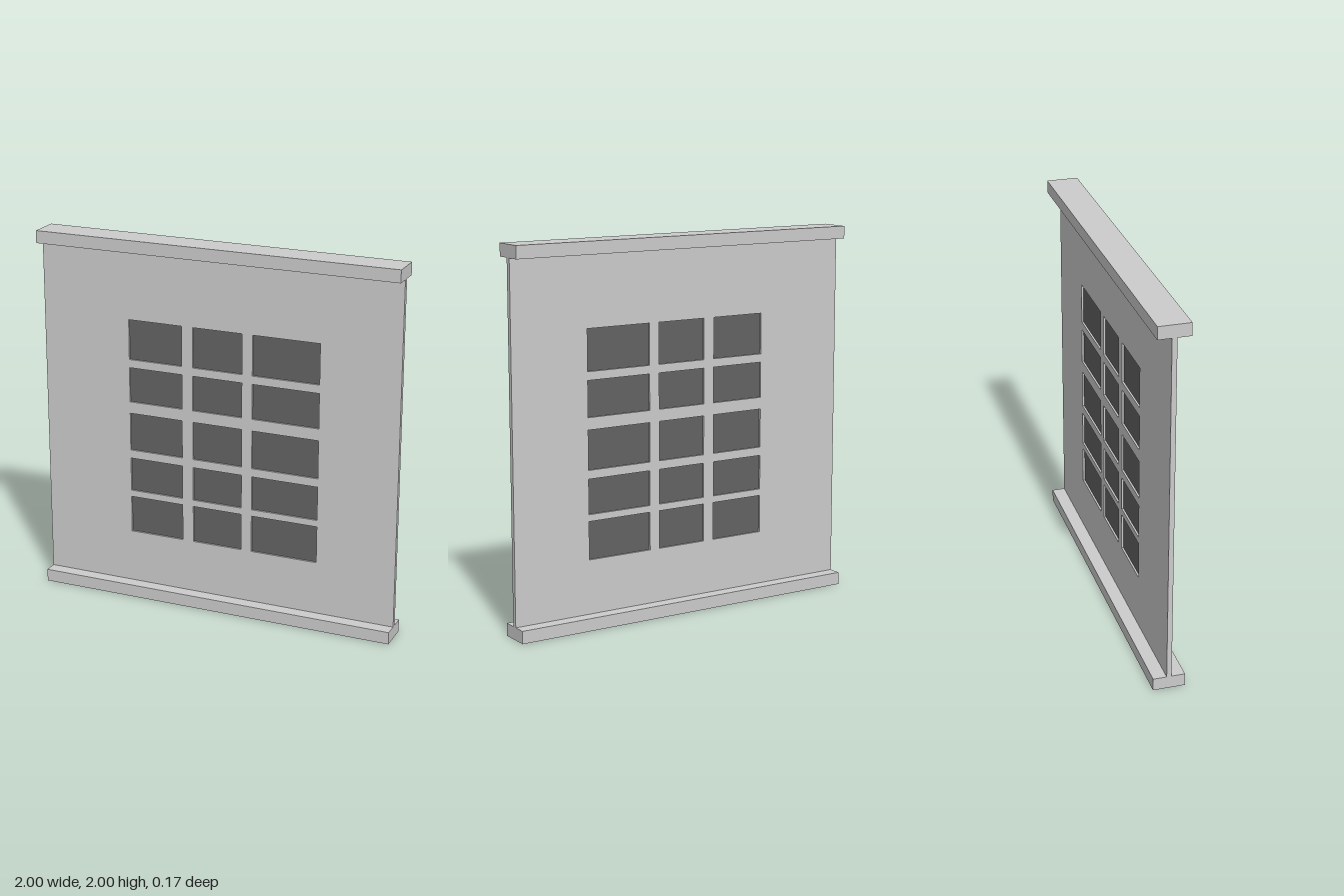
import * as THREE from 'three';

export function createModel() {
  const model = new THREE.Group();
  const frameMat = new THREE.MeshStandardMaterial({ color: 0xcccccc });
  const glassMat = new THREE.MeshStandardMaterial({ color: 0x636363 });

  const railHeight = 0.067, railDepth = 0.168;
  const wallDepth = 0.026, paneDepth = 0.006;

  // Window grid: [low, high] spans of each column and row
  const columns = [[-0.504, -0.2], [-0.138, 0.14], [0.198, 0.567]];
  const rows = [[0.356, 0.559], [0.595, 0.781], [0.827, 1.036], [1.1, 1.291], [1.336, 1.555]];

  const addBox = (name, w, h, d, x, y, material, parent) => {
    const mesh = new THREE.Mesh(new THREE.BoxGeometry(w, h, d), material);
    mesh.name = name;
    mesh.position.set(x, y, 0);
    parent.add(mesh);
  };

  const trace = (path, x0, x1, y0, y1) => {
    path.moveTo(x0, y0);
    path.lineTo(x1, y0);
    path.lineTo(x1, y1);
    path.lineTo(x0, y1);
    path.closePath();
    return path;
  };

  // Top and bottom rails
  addBox('bottomRail', 2, railHeight, railDepth, 0, railHeight / 2, frameMat, model);
  addBox('topRail', 2, railHeight, railDepth, 0, 2 - railHeight / 2, frameMat, model);

  // Wall panel with window openings, and a thin pane set midway in each
  const wall = trace(new THREE.Shape(), -1, 1, railHeight, 2 - railHeight);
  const panes = new THREE.Group();
  panes.name = 'windowPanes';
  for (const [x0, x1] of columns) {
    for (const [y0, y1] of rows) {
      wall.holes.push(trace(new THREE.Path(), x0, x1, y0, y1));
      addBox('windowPane', x1 - x0, y1 - y0, paneDepth, (x0 + x1) / 2, (y0 + y1) / 2, glassMat, panes);
    }
  }
  const wallGeometry = new THREE.ExtrudeGeometry(wall, { depth: wallDepth, bevelEnabled: false });
  wallGeometry.translate(0, 0, -wallDepth / 2);
  const wallPanel = new THREE.Mesh(wallGeometry, frameMat);
  wallPanel.name = 'wallPanel';
  model.add(wallPanel, panes);

  return model;
}
